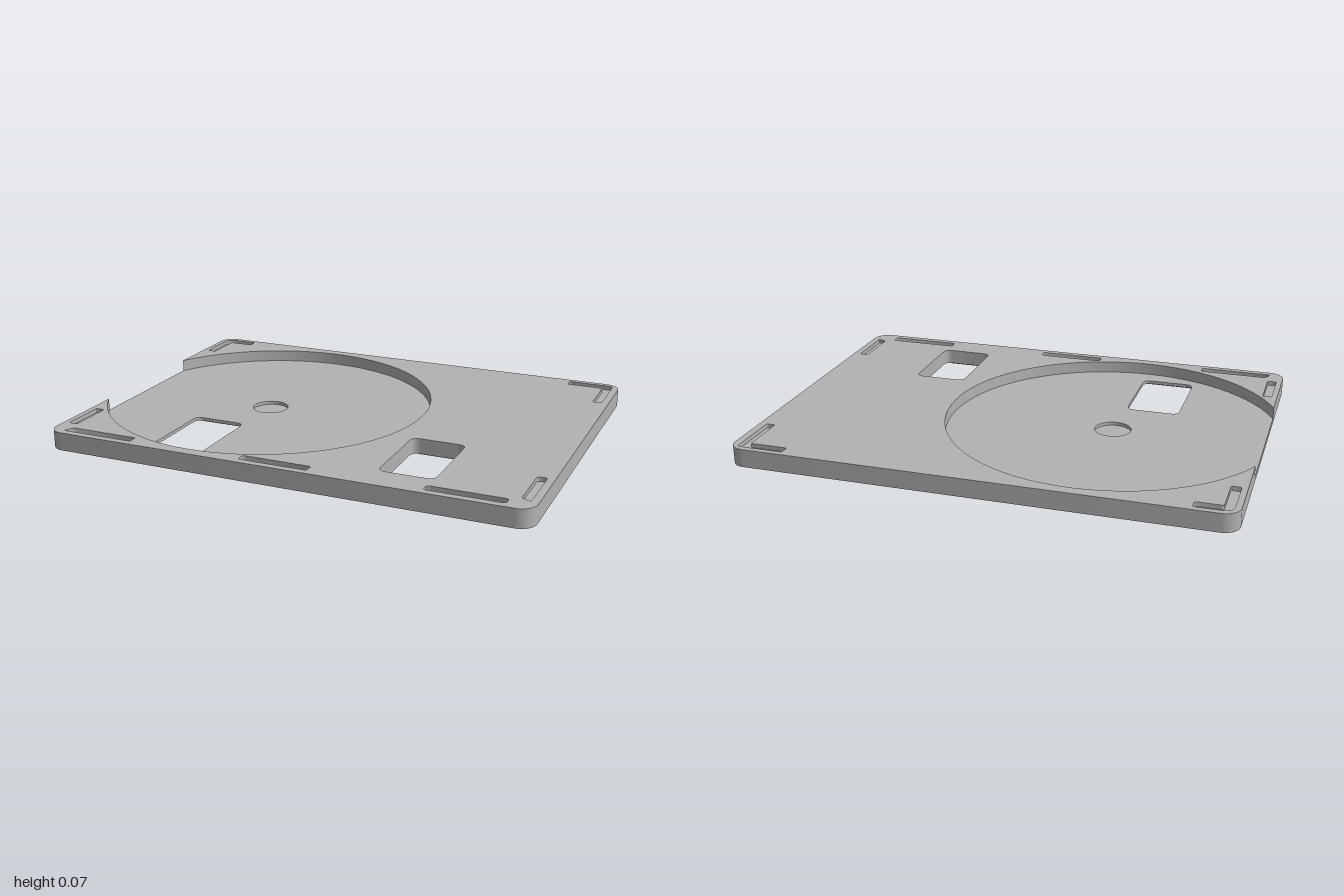
import * as THREE from 'three';
import { toCreasedNormals } from 'three/addons/utils/BufferGeometryUtils.js';

const HALF_X = 1, HALF_Z = 0.745, CORNER = 0.065;
const DISC_X = -0.375, DISC_R = 0.698;

// Closed path through [x, z, radius] corners, each rounded by its radius.
function roundedPath(points, PathType = THREE.Path) {
  const path = new PathType();
  const n = points.length;
  const vec = (p) => new THREE.Vector2(p[0], -p[1]);
  points.forEach((p, i) => {
    const c = vec(p);
    const toward = (q) => c.clone().add(vec(q).sub(c).setLength(p[2]));
    const a = toward(points[(i + n - 1) % n]);
    const b = toward(points[(i + 1) % n]);
    if (i === 0) path.moveTo(a.x, a.y);
    else path.lineTo(a.x, a.y);
    path.quadraticCurveTo(c.x, c.y, b.x, b.y);
  });
  path.closePath();
  return path;
}

const rect = (x0, x1, z0, z1, r) =>
  roundedPath([[x0, z0, r], [x1, z0, r], [x1, z1, r], [x0, z1, r]]);

// Full plate outline, or with the round bay cut out through the -x edge.
function outline(withBay) {
  const s = new THREE.Shape();
  const x = HALF_X, y = HALF_Z, r = CORNER;
  const a = Math.acos((-HALF_X - DISC_X) / DISC_R);
  const mouth = DISC_R * Math.sin(a);
  s.moveTo(-x, withBay ? -mouth : 0);
  s.lineTo(-x, -y + r);
  s.absarc(-x + r, -y + r, r, Math.PI, Math.PI * 1.5, false);
  s.absarc(x - r, -y + r, r, Math.PI * 1.5, Math.PI * 2, false);
  s.absarc(x - r, y - r, r, 0, Math.PI / 2, false);
  s.absarc(-x + r, y - r, r, Math.PI / 2, Math.PI, false);
  if (withBay) {
    s.lineTo(-x, mouth);
    s.absarc(DISC_X, 0, DISC_R, a, -a, true);
  }
  s.closePath();
  return s;
}

export function createModel() {
  const group = new THREE.Group();
  const grey = new THREE.MeshStandardMaterial({ color: 0xb2b2b2 });
  grey.name = 'plain grey';

  function layer(name, shape, holes, y0, y1) {
    shape.holes.push(...holes);
    const geo = new THREE.ExtrudeGeometry(shape, {
      depth: y1 - y0, bevelEnabled: false, curveSegments: 32,
    });
    geo.rotateX(-Math.PI / 2);
    geo.translate(0, y0, 0);
    const mesh = new THREE.Mesh(toCreasedNormals(geo, 0.6), grey);
    mesh.name = name;
    group.add(mesh);
  }

  // Two windows; the underside opening is wider by the margin m.
  const leftWindow = (m = 0) => rect(0.375 - m, 0.598 + m, 0.24 - m, 0.612 + m, 0.035);
  const rightWindow = (m = 0) => rect(-0.605 - m, -0.38 + m, 0.24 - m, 0.612 + m, 0.035);

  // Shallow pit in the middle of the bay.
  const pit = new THREE.Path();
  pit.absarc(DISC_X, 0, 0.076, 0, Math.PI * 2, true);

  // Shallow slots around the rim: two L-shaped, five straight.
  const e = 0.008;
  const slots = [
    roundedPath([[-0.976, -0.72, 0.045], [-0.83, -0.72, e], [-0.83, -0.68, e],
      [-0.937, -0.68, e], [-0.937, -0.513, e], [-0.976, -0.513, e]]),
    roundedPath([[0.775, -0.72, e], [0.97, -0.72, 0.02], [0.97, -0.48, e],
      [0.932, -0.48, e], [0.932, -0.68, e], [0.775, -0.68, e]]),
    rect(-0.976, -0.938, 0.438, 0.63, e),
    roundedPath([[0.932, 0.438, 0.015], [0.97, 0.438, e], [0.97, 0.665, e], [0.932, 0.65, e]]),
    roundedPath([[-0.92, 0.675, 0.01], [-0.63, 0.675, e], [-0.63, 0.715, e], [-0.94, 0.715, e]]),
    rect(-0.15, 0.135, 0.675, 0.715, 0.013),
    rect(0.59, 0.895, 0.675, 0.715, 0.013),
  ];

  layer('base', outline(false), [leftWindow(0.025), rightWindow(0.025)], 0, 0.011);
  layer('bayFloor', outline(false), [leftWindow(), rightWindow(), pit], 0.011, 0.025);
  layer('bayWall', outline(true), [leftWindow()], 0.025, 0.057);
  layer('slottedTop', outline(true), [leftWindow(), ...slots], 0.057, 0.075);
  return group;
}
